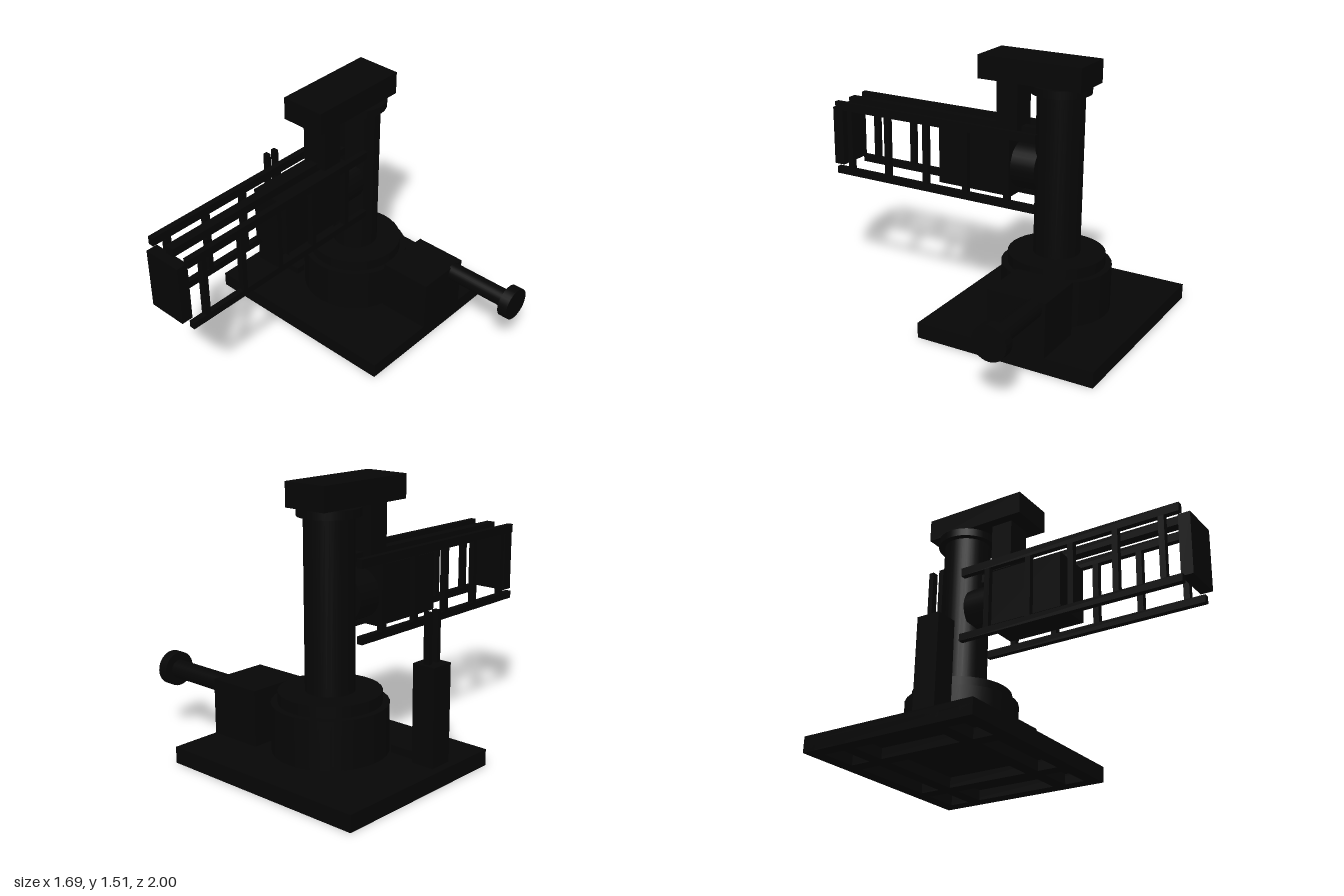
import * as THREE from 'three';

export function createModel() {
  const model = new THREE.Group();
  const black = new THREE.MeshStandardMaterial({ color: 0x060606 });
  black.name = 'black';

  const add = (name, geometry, parent = model) => {
    const mesh = new THREE.Mesh(geometry, black);
    mesh.name = name;
    parent.add(mesh);
    return mesh;
  };
  // Box given by its extents along each axis
  const box = (name, x0, x1, y0, y1, z0, z1, parent) => {
    const mesh = add(name, new THREE.BoxGeometry(x1 - x0, y1 - y0, z1 - z0), parent);
    mesh.position.set((x0 + x1) / 2, (y0 + y1) / 2, (z0 + z1) / 2);
    return mesh;
  };
  const cylinder = (name, r, length, x, y, z, axis = 'y') => {
    const g = new THREE.CylinderGeometry(r, r, length, 32);
    if (axis === 'x') g.rotateZ(Math.PI / 2);
    if (axis === 'z') g.rotateX(Math.PI / 2);
    const mesh = add(name, g);
    mesh.position.set(x, y, z);
    return mesh;
  };

  // Base plate, with a rim and crossing ribs on the underside
  const base = new THREE.Group();
  base.name = 'base';
  model.add(base);
  box('basePlate', -0.845, 0.4, 0.06, 0.09, -1, 0.065, base);
  for (const x of [-0.845, -0.56, 0.035, 0.32]) box('underRibAlong', x, x + 0.08, 0, 0.06, -1, 0.065, base);
  for (const z of [-1, -0.8, -0.215, -0.015]) box('underRibAcross', -0.845, 0.4, 0, 0.06, z, z + 0.08, base);

  // Stepped round pedestal and column
  const cx = -0.2225, cz = -0.466;
  cylinder('pedestal', 0.3115, 0.265, cx, 0.2225, cz);
  cylinder('pedestalRing', 0.275, 0.062, cx, 0.386, cz);
  cylinder('column', 0.1325, 0.965, cx, 0.8975, cz);
  cylinder('columnCollar', 0.168, 0.045, cx, 1.3575, cz);

  // Overhanging head and the hanger that carries the arm
  box('head', -0.355, -0.09, 1.38, 1.512, -0.643, -0.02);
  box('hanger', -0.3, -0.145, 1.09, 1.38, -0.24, -0.11);

  // Gearbox with its side handle
  box('gearbox', 0.085, 0.4, 0.09, 0.4, -0.72, -0.38);
  cylinder('handleRod', 0.0525, 0.4, 0.59, 0.357, -0.648, 'x');
  cylinder('handleKnob', 0.097, 0.06, 0.815, 0.357, -0.648, 'x');

  // Control post with two prongs and a conduit to the pedestal
  box('controlPost', -0.8, -0.667, 0.09, 0.622, -0.335, -0.2);
  for (const z of [-0.236, -0.3]) box('prong', -0.75, -0.715, 0.622, 0.89, z - 0.0135, z + 0.0135);
  box('conduit', -0.667, -0.5, 0.09, 0.133, -0.3, -0.24);

  // Open frame arm: paired side rails with uprights
  const arm = new THREE.Group();
  arm.name = 'arm';
  model.add(arm);
  for (const x of [-0.375, -0.107]) {
    box('topRail', x, x + 0.033, 1.067, 1.116, -0.39, 0.955, arm);
    box('bottomRail', x, x + 0.033, 0.668, 0.71, -0.39, 0.955, arm);
    for (let i = 0; i < 5; i++) {
      const z = 0.853 - i * 0.267;
      box('upright', x, x + 0.033, 0.71, 1.067, z - 0.017, z + 0.017, arm);
    }
  }
  box('centreRail', -0.2525, -0.198, 1.067, 1.116, -0.34, 0.945, arm);
  box('armEnd', -0.34, -0.11, 0.713, 1.067, 0.932, 1, arm);
  box('armBlock', -0.345, -0.105, 0.73, 1.055, -0.23, 0.24, arm);
  cylinder('armPivot', 0.135, 0.16, cx, 0.895, -0.3, 'z');

  return model;
}
